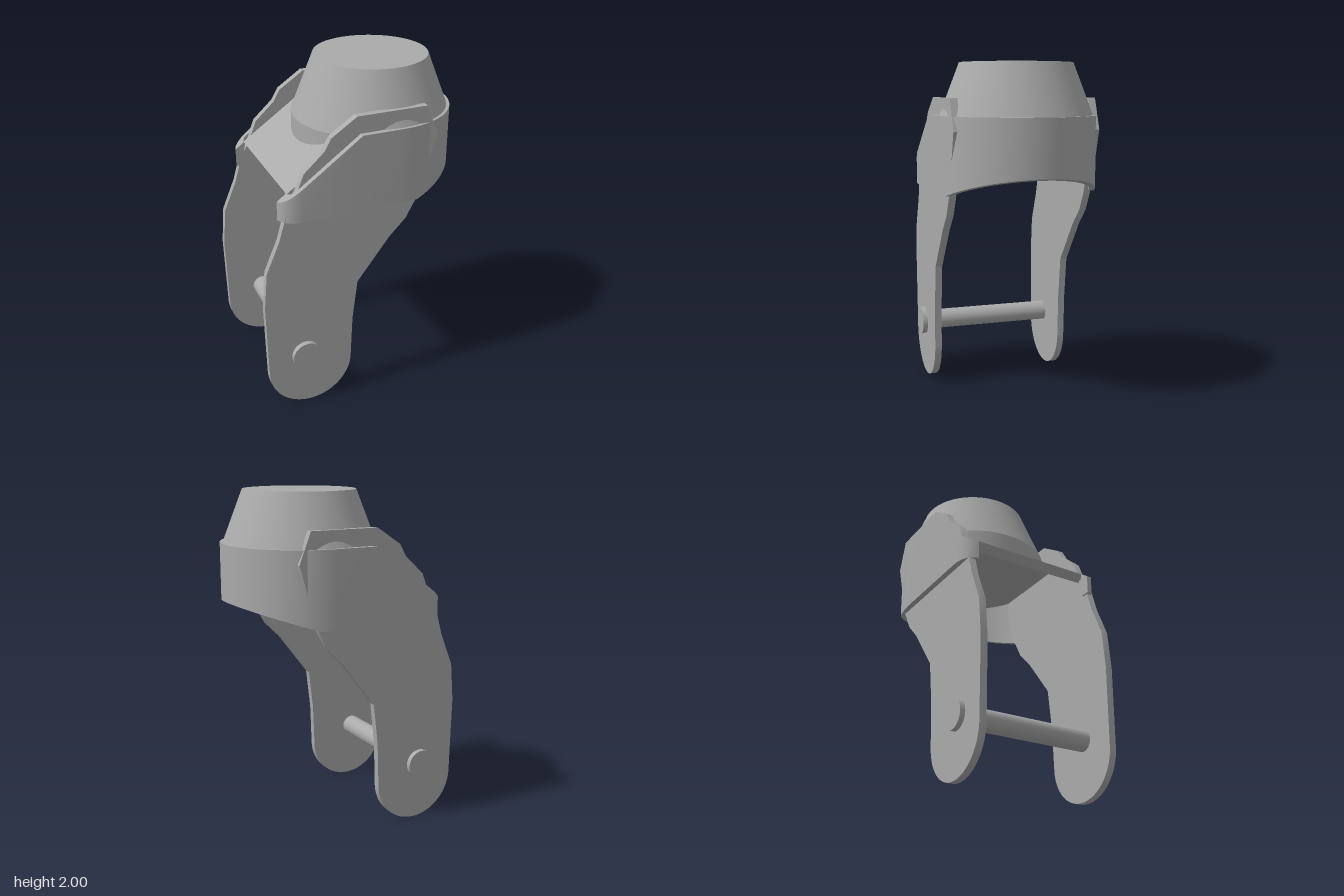
import * as THREE from 'three';
import { toCreasedNormals } from 'three/addons/utils/BufferGeometryUtils.js';

const CX = 0.18; // centre of the round neck and collar

export function createModel() {
  const group = new THREE.Group();
  const grey = new THREE.MeshStandardMaterial({ color: 0xaaaaaa });
  grey.name = 'metal grey';

  const add = (name, geo, x = 0, y = 0, z = 0) => {
    const mesh = new THREE.Mesh(geo, grey);
    mesh.name = name;
    mesh.position.set(x, y, z);
    group.add(mesh);
    return mesh;
  };
  const extrude = (shape, depth) => toCreasedNormals(
    new THREE.ExtrudeGeometry(shape, { depth, bevelEnabled: false, curveSegments: 32 }), 0.45);

  // Two fork arms with rounded feet
  const arm = new THREE.Shape();
  arm.moveTo(-0.64, 0.26);
  arm.absarc(-0.38, 0.26, 0.26, Math.PI, Math.PI * 2, false);
  [[-0.11, 0.52], [-0.08, 0.77], [0.12, 1.03], [0.22, 1.13], [0.28, 1.24], [0.35, 1.45],
    [0.40, 1.62], [0.33, 1.80], [-0.09, 1.80], [-0.24, 1.70], [-0.28, 1.63], [-0.40, 1.52],
    [-0.44, 1.42], [-0.51, 1.28], [-0.55, 1.14], [-0.63, 0.95], [-0.65, 0.72],
  ].forEach(([x, y]) => arm.lineTo(x, y));
  arm.closePath();
  const armGeo = extrude(arm, 0.042);
  add('frontArm', armGeo, 0, 0, 0.39);
  add('backArm', armGeo, 0, 0, -0.432);

  // Axle with a flat head on each side
  const axle = add('axle', new THREE.CylinderGeometry(0.062, 0.062, 0.8, 32), -0.41, 0.348, 0);
  axle.rotation.x = Math.PI / 2;
  for (const s of [1, -1]) {
    const head = add('axleHead', new THREE.CylinderGeometry(0.087, 0.087, 0.04, 40), -0.41, 0.348, s * 0.442);
    head.rotation.x = Math.PI / 2;
  }

  // Sloping deck between the arms
  const deck = new THREE.Shape([[-0.485, 1.40], [-0.44, 1.363], [-0.13, 1.58], [CX, 1.58],
    [CX, 1.66], [-0.11, 1.66]].map(([x, y]) => new THREE.Vector2(x, y)));
  add('deck', extrude(deck, 0.78), 0, 0, -0.39);

  // Tapered neck, its skirt down to the deck, and the floor inside the collar
  add('neck', new THREE.CylinderGeometry(0.33, 0.462, 0.34, 64), CX, 1.83, 0);
  const skirt = new THREE.CylinderGeometry(0.462, 0.462, 0.08, 64, 1, true);
  skirt.translate(CX, 1.62, 0);
  const sp = skirt.attributes.position;
  for (let i = 0; i < sp.count; i++) {
    if (sp.getY(i) < 1.6) sp.setY(i, Math.min(1.58, 1.61 + 0.7 * (sp.getX(i) + 0.13)));
  }
  add('neckSkirt', skirt);
  add('neckFloor', new THREE.CylinderGeometry(0.455, 0.455, 0.06, 64), CX, 1.612, 0);

  add('collar', collarGeometry());
  return group;
}

// U-shaped collar: a wall swept around the neck with sloping top and bottom edges
function collarGeometry() {
  const top = (x) => Math.min(1.70, 1.36 + (x + 0.54) * 0.723);
  const bottom = (x) => 1.25 + Math.max(0, x - 0.277) * 0.328;

  // Stations of one half: outer x, z and inner x, z
  const half = [
    [-0.54, 0.38, -0.485, 0.38], [-0.53, 0.41, -0.48, 0.40], [-0.505, 0.438, -0.47, 0.42],
    [-0.47, 0.457, -0.45, 0.428], [-0.42, 0.465, -0.42, 0.43], [-0.07, 0.465, -0.07, 0.43],
  ];
  for (let deg = 0; deg <= 90; deg += 6) {
    const a = THREE.MathUtils.degToRad(deg), s = Math.sin(a), c = Math.cos(a);
    half.push([CX + 0.465 * s, 0.465 * c, CX + 0.43 * s, 0.43 * c]);
  }
  const mirrored = half.slice(0, -1).reverse().map(([a, b, c, d]) => [a, -b, c, -d]);
  const stations = [...half, ...mirrored];

  const pos = [], index = [];
  stations.forEach(([ox, oz, ix, iz], k) => {
    pos.push(ox, bottom(ox), oz, ox, top(ox), oz, ix, top(ix), iz, ix, bottom(ix), iz);
    if (k === stations.length - 1) return;
    for (let j = 0; j < 4; j++) {
      const a = k * 4 + j, d = k * 4 + (j + 1) % 4;
      index.push(a, a + 4, d + 4, a, d + 4, d);
    }
  });
  const e = (stations.length - 1) * 4;
  index.push(0, 1, 2, 0, 2, 3, e, e + 2, e + 1, e, e + 3, e + 2);

  const geo = new THREE.BufferGeometry();
  geo.setAttribute('position', new THREE.Float32BufferAttribute(pos, 3));
  geo.setIndex(index);
  return toCreasedNormals(geo, 0.6);
}
